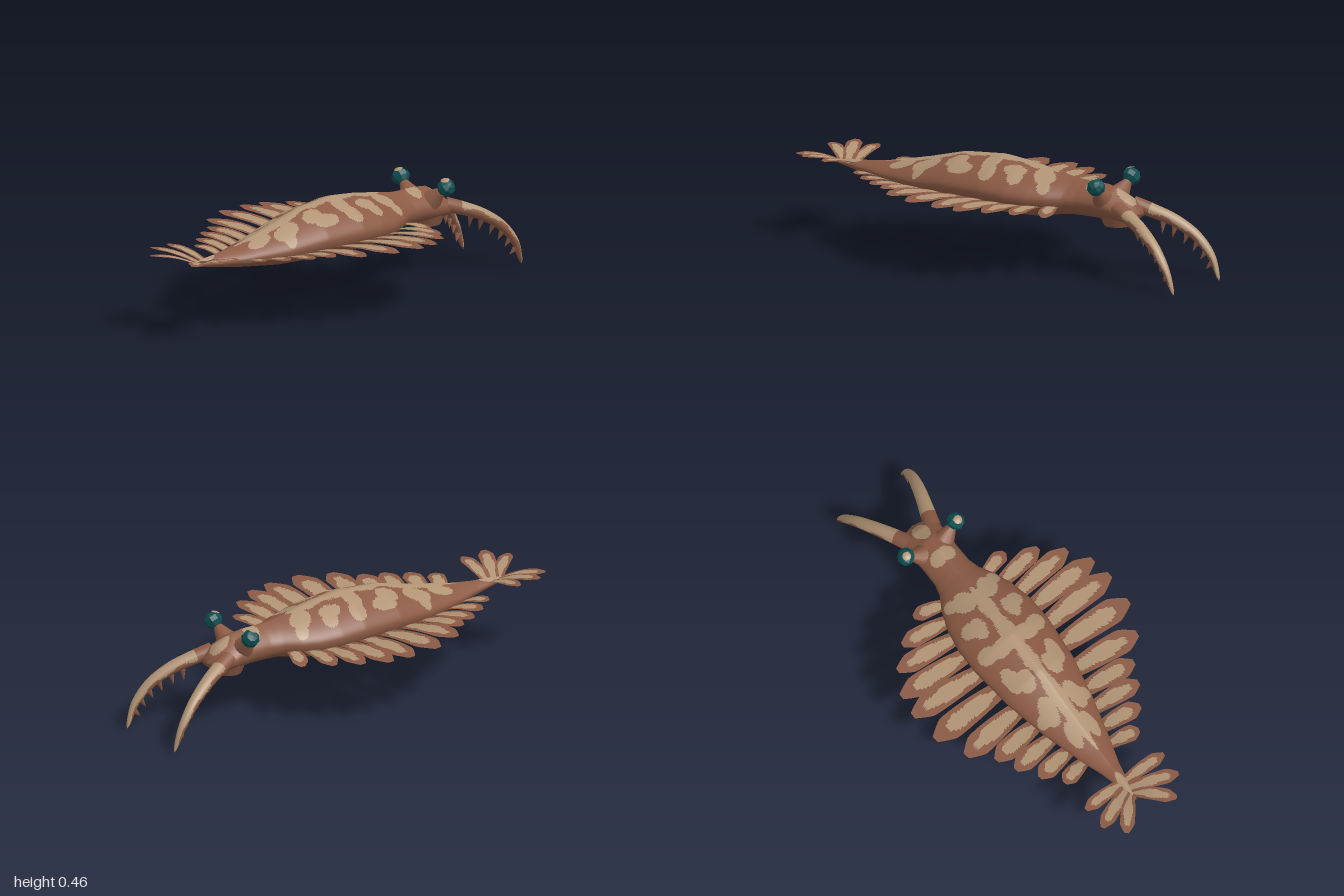
import * as THREE from 'three';

const mat = (name, color) => {
  const m = new THREE.MeshStandardMaterial({ color });
  m.name = name;
  return m;
};
const lerp = THREE.MathUtils.lerp;
const V = (x, y, z) => new THREE.Vector3(x, y, z);

// Grid surface: point(u, v) gives positions, pick(p, u, v) true gives the second material
function surface(name, nu, nv, point, flip, mats, pick = () => false) {
  const pos = [], lists = [[], []], P = [];
  for (let i = 0; i <= nu; i++) for (let j = 0; j <= nv; j++) {
    const p = point(i / nu, j / nv);
    P.push(p);
    pos.push(p.x, p.y, p.z);
  }
  const tri = (a, b, c, u, v) => {
    const mid = P[a].clone().add(P[b]).add(P[c]).divideScalar(3);
    lists[pick(mid, u, v) ? 1 : 0].push(...(flip ? [a, c, b] : [a, b, c]));
  };
  for (let i = 0; i < nu; i++) for (let j = 0; j < nv; j++) {
    const a = i * (nv + 1) + j, b = a + nv + 1;
    tri(a, a + 1, b, (i + 0.33) / nu, (j + 0.33) / nv);
    tri(a + 1, b + 1, b, (i + 0.67) / nu, (j + 0.67) / nv);
  }
  const g = new THREE.BufferGeometry();
  g.setAttribute('position', new THREE.Float32BufferAttribute(pos, 3));
  g.setIndex([...lists[0], ...lists[1]]);
  g.addGroup(0, lists[0].length, 0);
  g.addGroup(lists[0].length, lists[1].length, 1);
  g.computeVertexNormals();
  const mesh = new THREE.Mesh(g, mats);
  mesh.name = name;
  return mesh;
}

// Body stations: x, half width, top, bottom
const STATIONS = [
  [-0.88, 0.004, 0.325, 0.315], [-0.8, 0.022, 0.338, 0.3], [-0.7, 0.045, 0.345, 0.282],
  [-0.6, 0.078, 0.358, 0.265], [-0.4, 0.135, 0.4, 0.238], [-0.2, 0.178, 0.45, 0.228],
  [0, 0.198, 0.465, 0.222], [0.12, 0.195, 0.452, 0.222], [0.22, 0.175, 0.435, 0.225],
  [0.3, 0.145, 0.42, 0.24], [0.37, 0.105, 0.408, 0.25], [0.42, 0.092, 0.405, 0.25],
  [0.5, 0.09, 0.405, 0.25], [0.58, 0.095, 0.395, 0.245], [0.65, 0.096, 0.355, 0.25],
  [0.685, 0.075, 0.315, 0.262], [0.7, 0, 0.29, 0.285],
];
function bodyAt(x) {
  let i = 0;
  while (i < STATIONS.length - 2 && x > STATIONS[i + 1][0]) i++;
  const a = STATIONS[i], b = STATIONS[i + 1], t = (x - a[0]) / (b[0] - a[0]);
  return a.map((v, k) => lerp(v, b[k], t));
}

// Skin patches: centre x, centre |z|, radius x, radius z
const PATCHES = [
  [-0.8, 0, 0.07, 0.02], [-0.35, 0, 0.24, 0.034], [0.02, 0, 0.3, 0.034],
  [-0.5, 0.045, 0.07, 0.026], [-0.36, 0.07, 0.075, 0.036], [-0.37, 0.105, 0.03, 0.03],
  [-0.2, 0.07, 0.055, 0.036], [-0.15, 0.115, 0.06, 0.034], [-0.02, 0.06, 0.04, 0.05],
  [0, 0.13, 0.04, 0.045], [0.11, 0.085, 0.055, 0.032], [0.14, 0.125, 0.035, 0.034],
  [0.25, 0.06, 0.05, 0.05], [0.28, 0.115, 0.028, 0.025], [0.48, 0.02, 0.035, 0.038],
  [0.63, 0, 0.045, 0.037],
];
const patched = (p) => p.y > 0.322 && PATCHES.some(([x, z, rx, rz]) => {
  const wob = 0.2 * Math.sin(p.x * 38 + Math.abs(p.z) * 30);
  return ((p.x - x) / rx) ** 2 + ((Math.abs(p.z) - z) / rz) ** 2 < 1 + wob;
});

// Flaps: root x, tip x, tip z, tip y, half width
const FLAPS = [
  [-0.6, -0.64, 0.2, 0.33, 0.038], [-0.52, -0.555, 0.27, 0.33, 0.043],
  [-0.43, -0.465, 0.33, 0.33, 0.046], [-0.34, -0.38, 0.37, 0.33, 0.049],
  [-0.24, -0.285, 0.46, 0.33, 0.057], [-0.12, -0.145, 0.52, 0.33, 0.06],
  [-0.01, 0, 0.53, 0.325, 0.056], [0.09, 0.1, 0.515, 0.32, 0.052],
  [0.18, 0.205, 0.455, 0.315, 0.047], [0.26, 0.29, 0.365, 0.3, 0.042],
  [0.33, 0.37, 0.245, 0.275, 0.035],
];
const flapWidth = (u) => (0.68 + 0.32 * Math.sin(Math.min(u / 0.7, 1) * Math.PI / 2))
  * (u > 0.78 ? 1 - 0.72 * ((u - 0.78) / 0.22) ** 1.2 : 1);

export function createModel() {
  const brown = mat('brown skin', 0x8b5a44);
  const tan = mat('tan markings', 0xb09374);
  const teal = mat('teal eye', 0x0d4e51);
  const root = new THREE.Group();
  const add = (name, geo, material, parent = root) => {
    const m = new THREE.Mesh(geo, material);
    m.name = name;
    parent.add(m);
    return m;
  };

  // Body and head, ridged along the back
  root.add(surface('body', 200, 96, (u, v) => {
    const [x, w, top, bot] = bodyAt(lerp(-0.88, 0.7, u));
    const a = v * Math.PI * 2 + Math.PI, c = Math.cos(a), s = Math.sin(a);
    const mid = lerp(bot, top, 0.45);
    const y = c > 0 ? mid + (top - mid) * (0.6 * c + 0.4 * (1 - Math.abs(s))) : mid + (mid - bot) * c;
    return V(x, y, w * s);
  }, false, [brown, tan], patched));

  // Mouth ring under the head
  const mouth = add('mouth', new THREE.CylinderGeometry(0.085, 0.06, 0.06, 14), brown);
  mouth.position.set(0.59, 0.257, 0);

  // One leaf-shaped fin with a marked top and a plain underside, joined at the rim
  function fin(name, s, from, to, half, twist) {
    const flat = V(to.x - from.x, 0, to.z - from.z).normalize();
    const point = (drop) => (u, v) => {
      const side = v * 2 - 1, k = side * half * flapWidth(u);
      const p = from.clone().lerp(to, u);
      p.x += flat.z * k;
      p.z = s * (p.z - flat.x * k);
      p.y += 0.012 * Math.sin(u * Math.PI) - twist * k - drop * (1 - side * side) * (1 - u * u);
      return p;
    };
    const g = new THREE.Group();
    g.name = name;
    g.add(surface('finTop', 20, 12, point(0), s > 0, [brown, tan], (p, u, v) =>
      u < 0.82 && ((u - 0.42) / 0.42) ** 2 + ((v - 0.5) / 0.33) ** 2 < 1 + 0.2 * Math.sin(u * 17 + from.x * 30)));
    g.add(surface('finUnderside', 20, 12, point(0.004), s < 0, [tan, tan]));
    root.add(g);
  }

  // Arm centre line
  const armPath = new THREE.CatmullRomCurve3([
    V(0.63, 0.315, 0.06), V(0.71, 0.288, 0.09), V(0.8, 0.25, 0.125),
    V(0.89, 0.188, 0.156), V(0.955, 0.108, 0.172), V(0.997, 0.003, 0.172),
  ]);
  const armFrame = (t) => {
    const T = armPath.getTangent(t);
    const N = V(0, 0, 1).cross(T).normalize();
    return { C: armPath.getPoint(t), T, N, B: T.clone().cross(N) };
  };
  const armRadius = (t) => 0.036 * Math.pow(1 - t, 0.45) + 0.001;

  for (const s of [1, -1]) {
    const side = s > 0 ? 'left' : 'right';

    // Swimming flaps along the flank
    FLAPS.forEach(([rx, tx, tz, ty, half], i) => {
      const [, w, top, bot] = bodyAt(rx);
      fin(`${side}Flap${i + 1}`, s, V(rx, lerp(bot, top, 0.3), w * 0.85), V(tx, ty, tz), half, 0.05);
    });

    // Tail fan
    [[-0.84, -0.99, 0.135, 0.362, 0.032], [-0.82, -0.91, 0.205, 0.372, 0.034], [-0.785, -0.8, 0.21, 0.365, 0.032]]
      .forEach(([rx, tx, tz, ty, half], i) =>
        fin(`${side}TailFin${i + 1}`, s, V(rx, 0.323, 0.005), V(tx, ty, tz), half, 0.07));

    // Grasping arm, light above and dark beneath
    root.add(surface(`${side}Arm`, 36, 20, (u, v) => {
      const { C, N, B } = armFrame(u), a = v * Math.PI * 2 + Math.PI, r = armRadius(u);
      C.addScaledVector(N, Math.cos(a) * r * 0.9).addScaledVector(B, Math.sin(a) * r);
      C.z *= s;
      return C;
    }, s < 0, [brown, tan], (p, u, v) =>
      u > 0.16 && Math.cos(v * Math.PI * 2 + Math.PI) > 0.12 + 0.25 * Math.sin(u * 24)));

    // Spines on the inner curve of the arm
    for (let i = 0; i < 6; i++) {
      const t = 0.3 + i * 0.11, { C, T, N } = armFrame(t), r = armRadius(t), len = 0.066 - i * 0.005;
      const dir = N.clone().multiplyScalar(-1).addScaledVector(T, 0.45).add(V(0, 0, -0.4)).normalize();
      C.addScaledVector(dir, r * 0.5 + len / 2);
      const spine = add(`${side}Spine${i + 1}`, new THREE.ConeGeometry(0.016, len, 6), brown);
      dir.z *= s;
      spine.position.set(C.x, C.y, C.z * s);
      spine.quaternion.setFromUnitVectors(V(0, 1, 0), dir);
    }

    // Faceted eye on a flared stalk
    const eye = new THREE.Group();
    eye.name = `${side}Eye`;
    eye.position.set(0.555, 0.355, 0.07 * s);
    eye.quaternion.setFromUnitVectors(V(0, 1, 0), V(0.15, 0.66, 0.72 * s).normalize());
    root.add(eye);
    add('eyeStalk', new THREE.CylinderGeometry(0.015, 0.05, 0.085, 12), brown, eye).position.y = 0.025;
    const facets = new THREE.SphereGeometry(0.041, 8, 5).toNonIndexed();
    facets.computeVertexNormals();
    const ball = add('eyeball', facets, teal, eye);
    ball.position.y = 0.088;
    ball.scale.y = 0.9;

    // Pale spot lying on the upper rear of the eye
    const spot = add('eyeSpot', new THREE.SphereGeometry(0.041, 10, 3, 0, Math.PI * 2, 0, 0.5), tan);
    spot.position.copy(ball.position).applyQuaternion(eye.quaternion).add(eye.position);
    spot.rotation.set(0.1 * s, 0, 0.3);
  }
  return root;
}
